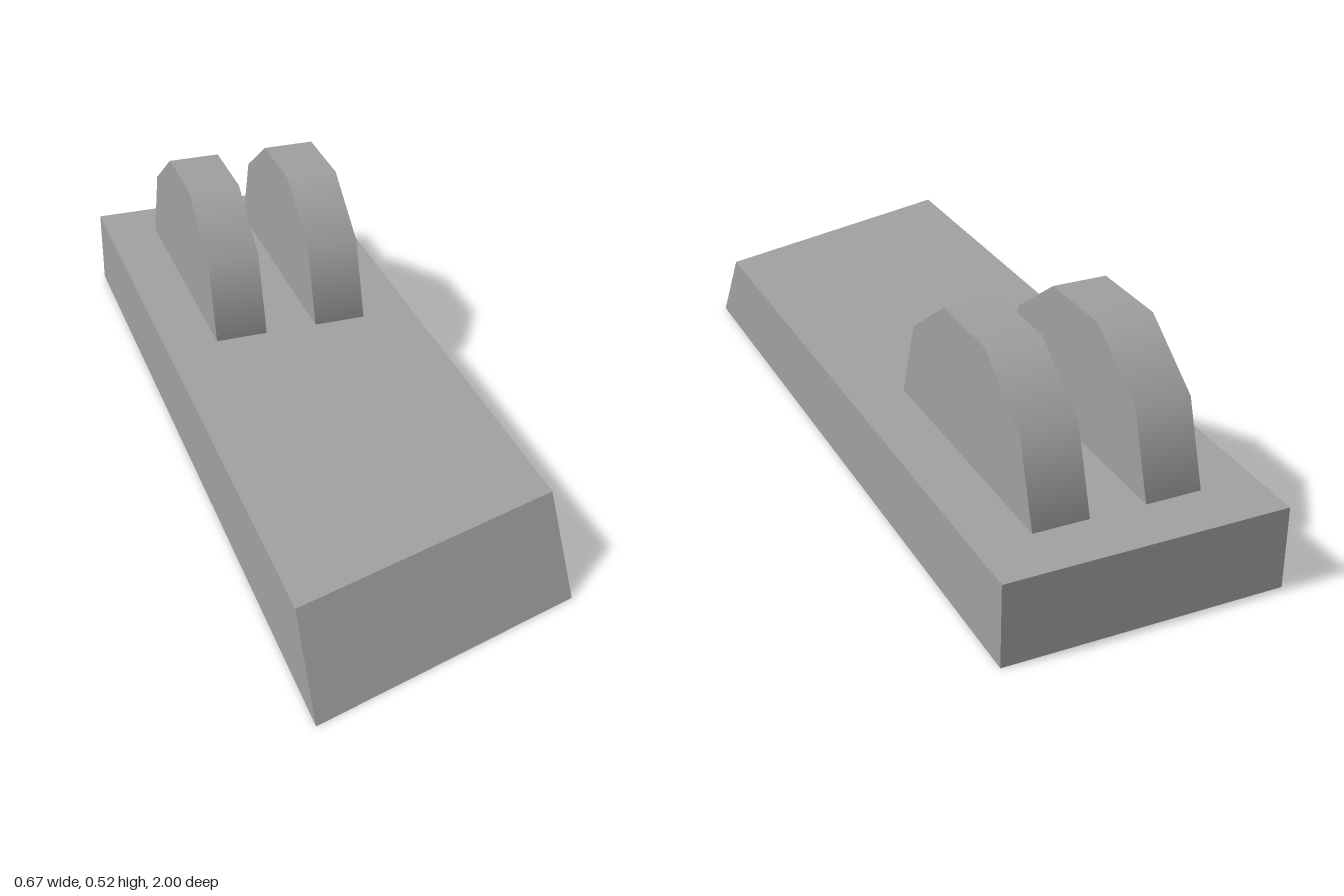
import * as THREE from 'three';

export function createModel() {
  const group = new THREE.Group();
  const grey = new THREE.MeshStandardMaterial({ color: 0xa0a0a0 });
  grey.name = 'grey';

  // Base plate: the front end is skewed across its width and slopes back to the top
  const plate = new THREE.BoxGeometry(0.667, 0.2, 2);
  plate.translate(0, 0.1, 0);
  const pos = plate.attributes.position;
  for (let i = 0; i < pos.count; i++) {
    if (pos.getZ(i) < 0) continue;
    const skew = pos.getX(i) > 0 ? 0.2 : 0;
    const slope = pos.getY(i) > 0.1 ? 0.133 : 0;
    pos.setZ(i, 1 - skew - slope);
  }
  plate.computeVertexNormals();
  const base = new THREE.Mesh(plate, grey);
  base.name = 'basePlate';
  group.add(base);

  // Pair of half-round lugs, smooth around the rim
  const lugShape = new THREE.CylinderGeometry(0.3333, 0.3333, 0.1333, 5, 1, false, 0, Math.PI);
  lugShape.rotateZ(Math.PI / 2);
  for (const side of [1, -1]) {
    const lug = new THREE.Mesh(lugShape, grey);
    lug.name = side > 0 ? 'leftLug' : 'rightLug';
    lug.position.set(side * 0.1333, 0.2, -0.5333);
    group.add(lug);
  }
  return group;
}
